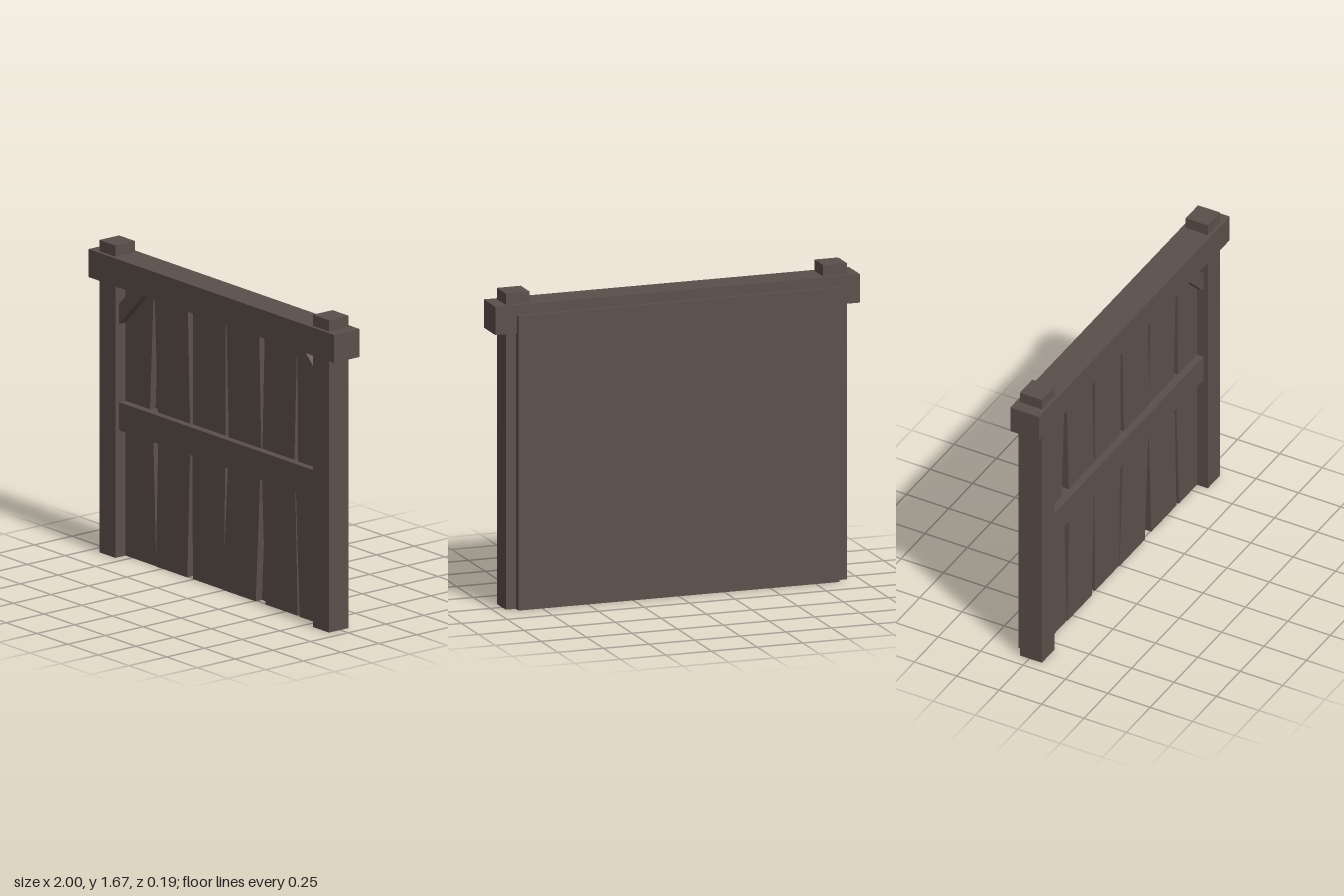
import * as THREE from 'three';

export function createModel() {
  const group = new THREE.Group();
  const wood = new THREE.MeshStandardMaterial({ color: 0x5c4f4a, flatShading: true });

  const add = (name, geometry) => {
    const mesh = new THREE.Mesh(geometry, wood);
    mesh.name = name;
    group.add(mesh);
  };

  // Box given by its extents on each axis
  const box = (name, [x0, x1], [y0, y1], [z0, z1]) => {
    const g = new THREE.BoxGeometry(x1 - x0, y1 - y0, z1 - z0);
    g.translate((x0 + x1) / 2, (y0 + y1) / 2, (z0 + z1) / 2);
    add(name, g);
  };

  // Flat outline in x and y, extruded from z0 to z1
  const slab = (name, points, z0, z1) => {
    const shape = new THREE.Shape(points.map(([x, y]) => new THREE.Vector2(x, y)));
    const g = new THREE.ExtrudeGeometry(shape, { depth: z1 - z0, bevelEnabled: false });
    g.translate(0, 0, z0);
    add(name, g);
  };

  // Frame: posts, top beam, middle rail
  box('rightPost', [-0.935, -0.805], [0, 1.675], [-0.055, 0.075]);
  box('leftPost', [0.805, 0.935], [0, 1.675], [-0.055, 0.075]);
  box('topBeam', [-1, 1], [1.465, 1.615], [-0.075, 0.095]);
  box('middleRail', [-0.805, 0.805], [0.68, 0.83], [-0.04, 0.05]);

  // Backing panel
  box('backPanel', [-0.88, 0.88], [0, 1.56], [-0.095, -0.03]);

  // Diagonal corner braces
  for (const s of [-1, 1]) {
    slab(s < 0 ? 'rightBrace' : 'leftBrace',
      [[s * 0.805, 1.25], [s * 0.59, 1.465], [s * 0.695, 1.465], [s * 0.805, 1.36]], -0.03, 0.05);
  }

  // Crooked planks; each gap is [left top, left bottom, right top, right bottom] in x
  const plankRow = (name, y0, y1, gaps) => {
    const edges = [[0, 0, -0.81, -0.81], ...gaps, [0.81, 0.81, 0, 0]];
    for (let i = 0; i < edges.length - 1; i++) {
      const [, , lt, lb] = edges[i];
      const [rt, rb] = edges[i + 1];
      slab(name + (i + 1), [[lb, y0], [rb, y0], [rt, y1], [lt, y1]], -0.035, i % 2 ? 0.011 : 0.007);
    }
  };
  plankRow('upperPlank', 0.75, 1.5, [
    [-0.575, -0.61, -0.565, -0.535],
    [-0.295, -0.273, -0.255, -0.258],
    [0.008, 0.008, 0.02, 0.042],
    [0.287, 0.307, 0.33, 0.307],
    [0.593, 0.567, 0.6, 0.606],
  ]);
  plankRow('lowerPlank', 0, 0.75, [
    [-0.582, -0.555, -0.533, -0.553],
    [-0.273, -0.297, -0.262, -0.257],
    [0.006, -0.004, 0.038, -0.008],
    [0.3, 0.26, 0.304, 0.334],
    [0.575, 0.597, 0.584, 0.617],
  ]);

  return group;
}
